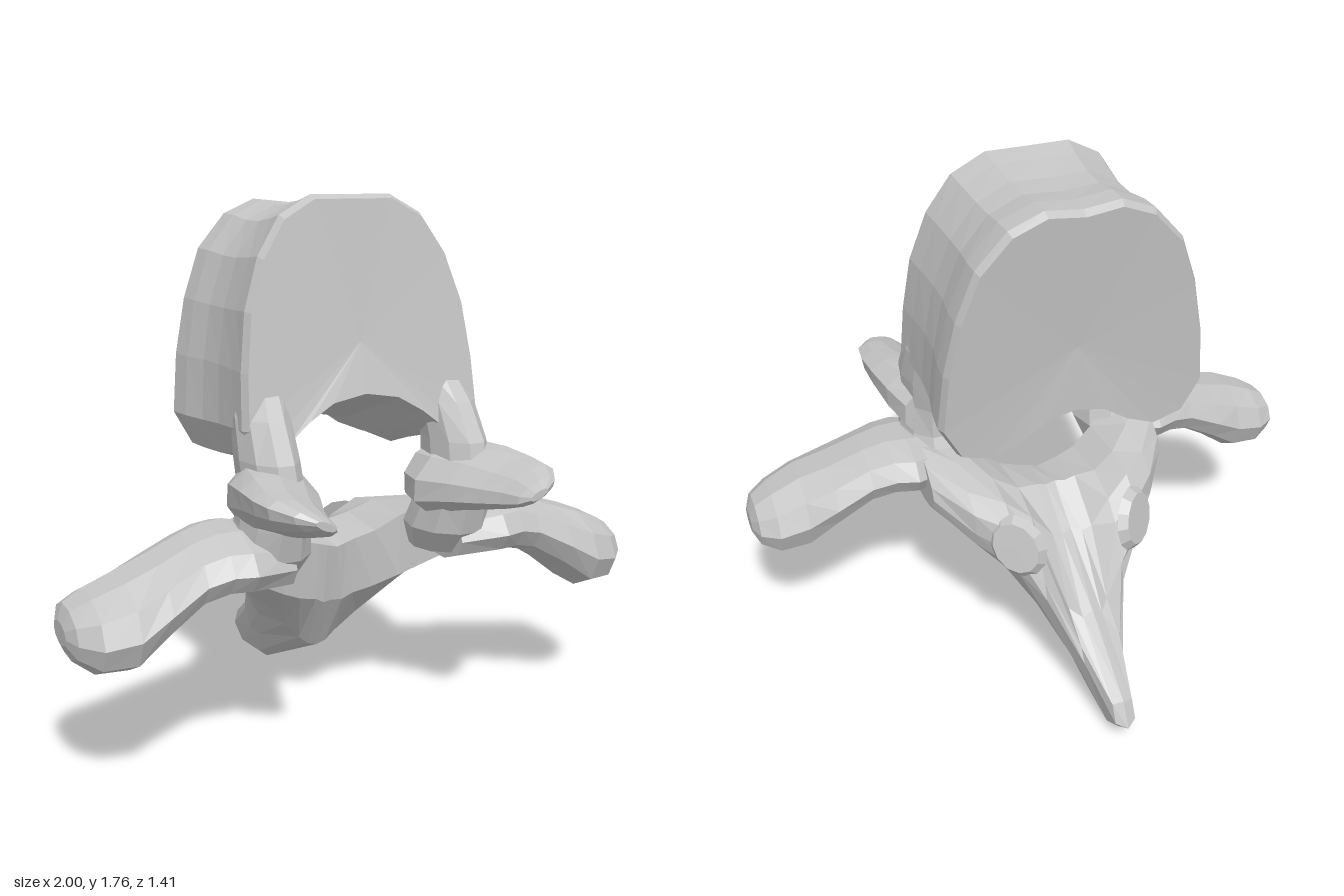
import * as THREE from 'three';

const bone = new THREE.MeshStandardMaterial({ color: 0xc4c4c4, flatShading: true });
bone.name = 'bone grey';

// Closed skin over a list of rings (arrays of [x, y, z]); capped at both ends, always facing outward.
function loft(name, rings, dish = 0) {
  const n = rings[0].length;
  const pos = rings.flat(2);
  const idx = [];
  for (let r = 0; r < rings.length - 1; r++) {
    for (let i = 0; i < n; i++) {
      const a = r * n + i, b = r * n + (i + 1) % n;
      idx.push(a, b, a + n, b, b + n, a + n);
    }
  }
  [0, rings.length - 1].forEach((r, end) => {
    const c = [0, 1, 2].map(k => rings[r].reduce((s, p) => s + p[k], 0) / n);
    c[2] += end ? dish : -dish;
    const m = pos.length / 3;
    pos.push(...c);
    for (let i = 0; i < n; i++) {
      const a = r * n + i, b = r * n + (i + 1) % n;
      if (end) idx.push(a, b, m); else idx.push(b, a, m);
    }
  });
  // signed volume tells whether the corners run the wrong way
  let volume = 0;
  const v = i => new THREE.Vector3().fromArray(pos, i * 3);
  for (let i = 0; i < idx.length; i += 3) volume += v(idx[i]).dot(v(idx[i + 1]).cross(v(idx[i + 2])));
  if (volume < 0) idx.reverse();
  const g = new THREE.BufferGeometry();
  g.setAttribute('position', new THREE.Float32BufferAttribute(pos, 3));
  g.setIndex(idx);
  const flat = g.toNonIndexed();
  flat.computeVertexNormals();
  const mesh = new THREE.Mesh(flat, bone);
  mesh.name = name;
  return mesh;
}

// n points round an ellipse, placed by the function put(u, v)
function oval(n, a, b, put) {
  return Array.from({ length: n }, (_, i) => {
    const t = (i / n) * Math.PI * 2;
    return put(a * Math.cos(t), b * Math.sin(t));
  });
}

const lerp = THREE.MathUtils.lerp;

// Drum-shaped body, lofted from the front face to the back face
function body() {
  const front = [[0, 1.15], [0.12, 1.13], [0.21, 1.08], [0.29, 1.02], [0.38, 1.0], [0.42, 1.07],
    [0.41, 1.24], [0.385, 1.42], [0.33, 1.58], [0.25, 1.7], [0.14, 1.76], [0, 1.76]];
  const back = [[0, 1.03], [0.1, 1.01], [0.19, 0.95], [0.29, 0.91], [0.39, 0.94], [0.45, 1.05],
    [0.43, 1.24], [0.39, 1.42], [0.33, 1.58], [0.23, 1.69], [0.12, 1.735], [0, 1.72]];
  // [position front to back, size]
  const stations = [[0, 0.97], [0.05, 1], [0.2, 0.975], [0.42, 0.95], [0.62, 0.955], [0.8, 0.99], [0.95, 1], [1, 0.97]];
  const rings = stations.map(([t, s]) => {
    const half = front.map(([x, y], i) => {
      const px = lerp(x, back[i][0], t) * s;
      const blend = Math.min(1, t * 1.6); // underside drops quickly behind the front rim
      const raw = lerp(y, back[i][1], i < 6 ? blend : t);
      const py = i < 6 ? raw : 1.25 + (raw - 1.25) * s;
      const zf = lerp(0.295, 0.2, (py - 1.1) / 0.66);
      const zb = lerp(-0.235, -0.295, (py - 1.0) / 0.72);
      return [px, py, lerp(zf, zb, t)];
    });
    const other = half.slice(1, -1).reverse().map(([x, y, z]) => [-x, y, z]);
    return [...half, ...other];
  });
  return loft('vertebralBody', rings, 0.015);
}

// Rear arch running into the spine, as side-on slices [z, y] stepping out from the middle
function arch() {
  const slices = [
    [0, [[.1, .6], [-.06, .64], [-.2, .54], [-.4, .33], [-.66, .15], [-.705, .07], [-.62, 0], [-.46, .01], [-.05, .2], [.06, .4]]],
    [.035, [[.1, .61], [-.07, .64], [-.22, .53], [-.4, .31], [-.65, .14], [-.68, .08], [-.61, .03], [-.45, .04], [-.05, .21], [.07, .4]]],
    [.07, [[.1, .62], [-.07, .65], [-.22, .54], [-.36, .33], [-.47, .25], [-.5, .2], [-.46, .14], [-.38, .14], [-.05, .24], [.08, .42]]],
    [.14, [[.11, .64], [-.08, .66], [-.2, .62], [-.26, .56], [-.32, .43], [-.34, .37], [-.3, .3], [-.24, .28], [-.02, .31], [.1, .44]]],
    [.22, [[.14, .69], [-.05, .7], [-.17, .68], [-.25, .62], [-.28, .54], [-.26, .47], [-.2, .42], [-.12, .39], [.04, .4], [.14, .48]]],
    [.32, [[.2, .75], [.05, .73], [-.08, .69], [-.15, .64], [-.16, .57], [-.14, .52], [-.08, .5], [0, .49], [.1, .5], [.2, .54]]],
    [.42, [[.26, .76], [.15, .76], [.06, .73], [0, .68], [-.02, .64], [0, .6], [.04, .58], [.1, .57], [.18, .57], [.27, .6]]],
  ];
  const side = s => slices.map(([x, pts]) => pts.map(([z, y]) => [s * x, y, z]));
  return loft('archAndSpine', [...side(-1).reverse(), ...side(1).slice(1)]);
}

// Parts that come in pairs; s is +1 on the left, -1 on the right
function sideParts(s) {
  const group = new THREE.Group();
  group.name = s > 0 ? 'leftSide' : 'rightSide';

  // pedicle: [y, x, z, half width, half depth]
  const pedicle = [[1.2, .32, .19, .07, .07], [1.1, .335, .22, .085, .12], [.98, .34, .27, .09, .145],
    [.88, .335, .29, .09, .15], [.78, .33, .285, .11, .15], [.68, .33, .25, .13, .16], [.6, .33, .22, .1, .12]];
  group.add(loft('pedicle', pedicle.map(([y, x, z, a, b]) =>
    oval(10, a, b, (u, v) => [s * (x + u), y, z + v]))));

  // side wing: [x, y, z, half height, half depth]
  const wing = [[.3, .66, .25, .09, .15], [.45, .68, .24, .1, .21], [.52, .68, .245, .1, .19],
    [.6, .66, .25, .1, .175], [.72, .6, .265, .115, .185], [.82, .545, .28, .14, .185],
    [.92, .525, .27, .12, .165], [.98, .53, .26, .08, .12], [1, .53, .26, .035, .06]];
  group.add(loft('sideWing', wing.map(([x, y, z, a, b]) =>
    oval(10, b, a, (u, v) => [s * x, y + v - u * 0.06, z + u]))));

  // upper joint blade, tilted and reaching forward: [z, x, y, half length, half thickness]
  const blade = [[.2, .32, .84, .13, .11], [.3, .325, .85, .165, .11], [.42, .36, .865, .15, .085],
    [.52, .385, .87, .13, .065], [.6, .395, .875, .11, .05], [.67, .38, .875, .075, .03], [.705, .365, .875, .035, .012]];
  const c = Math.cos(0.42), d = Math.sin(0.42);
  group.add(loft('upperJointBlade', blade.map(([z, x, y, a, b]) =>
    oval(10, a, b, (u, v) => [s * (x + u * c - v * d), y + u * d + v * c, z]))));

  // lower joint facet, a shallow oval pad on the back of the arch
  const pad = new THREE.Mesh(new THREE.CylinderGeometry(0.075, 0.095, 0.03, 12), bone);
  pad.name = 'lowerJointFacet';
  pad.scale.z = 1.2;
  pad.position.set(s * 0.215, 0.56, -0.26);
  pad.quaternion.setFromUnitVectors(new THREE.Vector3(0, 1, 0), new THREE.Vector3(s * 0.6, 0.25, -0.76).normalize());
  group.add(pad);
  return group;
}

export function createModel() {
  const model = new THREE.Group();
  model.name = 'vertebra';
  model.add(body(), arch(), sideParts(1), sideParts(-1));
  return model;
}
